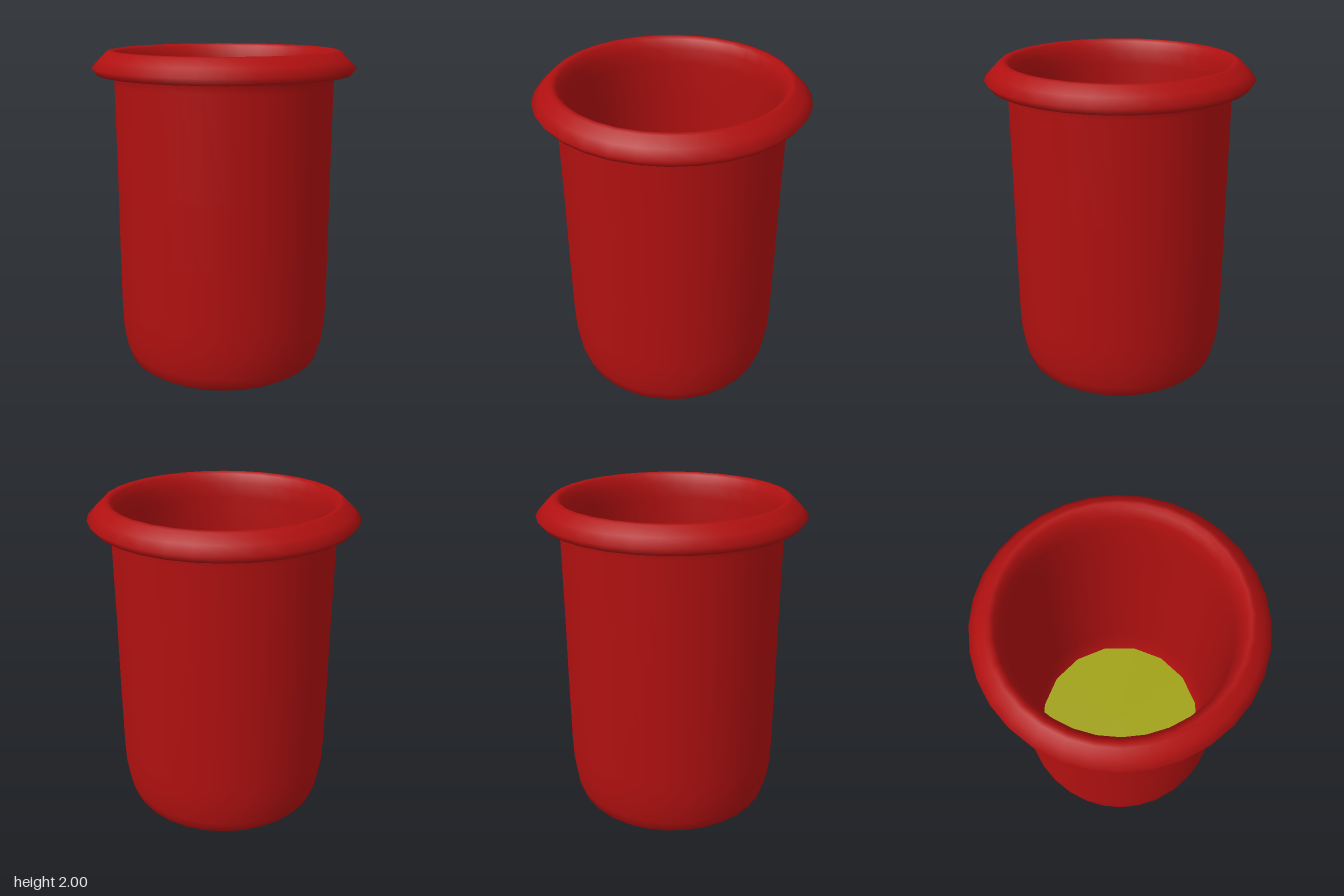
import * as THREE from 'three';

export function createModel() {
  const group = new THREE.Group();
  const red = new THREE.MeshStandardMaterial({ color: 0xb01010, side: THREE.DoubleSide });
  const yellow = new THREE.MeshStandardMaterial({ color: 0xa0a010, side: THREE.DoubleSide });

  // Cup wall: base, outside, flared lip, then down the inside to the floor
  const profile = [
    [0, 0], [0.4, 0.008], [0.58, 0.025], [0.622, 0.055], [0.645, 0.13],
    [0.663, 0.26], [0.667, 0.4], [0.667, 0.8], [0.664, 1.2], [0.664, 1.8], [0.666, 1.855],
    [0.68, 1.86], [0.765, 1.86], [0.795, 1.9], [0.75, 1.947], [0.7, 1.995],
    [0.675, 2], [0.65, 1.985], [0.625, 1.93], [0.613, 1.84], [0.61, 1.6],
    [0.61, 0.4], [0.6, 0.26], [0.575, 0.13], [0.53, 0.085], [0.35, 0.07], [0, 0.065],
  ].map(([r, y]) => new THREE.Vector2(r, y));
  const cup = new THREE.Mesh(new THREE.LatheGeometry(profile, 32), red);
  cup.name = 'cup';
  group.add(cup);

  // Sixteen-sided disc of liquid inside the cup
  const liquid = new THREE.Mesh(new THREE.CircleGeometry(0.573, 16), yellow);
  liquid.name = 'liquid';
  liquid.rotation.x = -Math.PI / 2;
  liquid.position.y = 0.22;
  group.add(liquid);

  return group;
}
